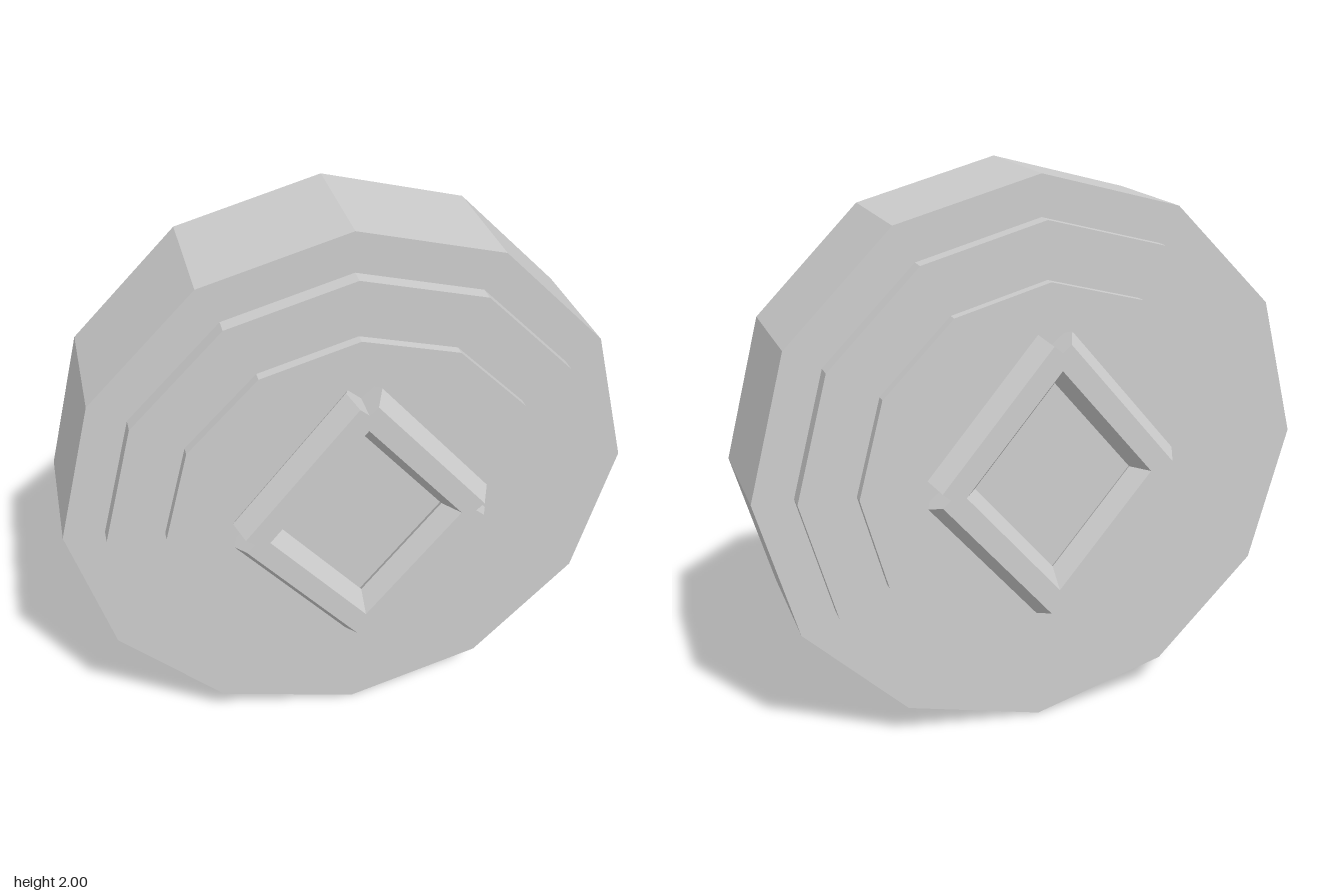
import * as THREE from 'three';

export function createModel() {
  const model = new THREE.Group();
  const stone = new THREE.MeshStandardMaterial({ color: 0xcccccc });
  stone.name = 'lightGrey';
  stone.flatShading = true;

  // Stepped twelve-sided disc: each tier is smaller and slightly thicker
  const tiers = [
    ['outerDisc', 1, 0.45],
    ['middleDisc', 0.86, 0.56],
    ['innerDisc', 0.665, 0.63],
  ];
  for (const [name, radius, depth] of tiers) {
    const disc = new THREE.Mesh(
      new THREE.CylinderGeometry(radius, radius, depth, 12).rotateX(Math.PI / 2), stone);
    disc.name = name;
    disc.position.y = 1;
    model.add(disc);
  }

  // Diamond frame of four hexagonal bars on the front and back faces
  const barGeometry = new THREE.CylinderGeometry(0.078, 0.078, 0.596, 6, 1, false, Math.PI / 6);
  const tilt = Math.atan2(0.385, 0.455);
  for (const side of [1, -1]) {
    const frame = new THREE.Group();
    frame.name = side > 0 ? 'frontDiamondFrame' : 'backDiamondFrame';
    frame.position.set(0, 1, side * 0.35);
    for (const sx of [1, -1]) {
      for (const sy of [1, -1]) {
        const bar = new THREE.Mesh(barGeometry, stone);
        bar.name = (sy > 0 ? 'upper' : 'lower') + (sx > 0 ? 'Left' : 'Right') + 'Bar';
        bar.position.set(sx * 0.193, sy * 0.227, 0);
        bar.rotation.z = sx * sy * tilt;
        frame.add(bar);
      }
    }
    model.add(frame);
  }
  return model;
}
